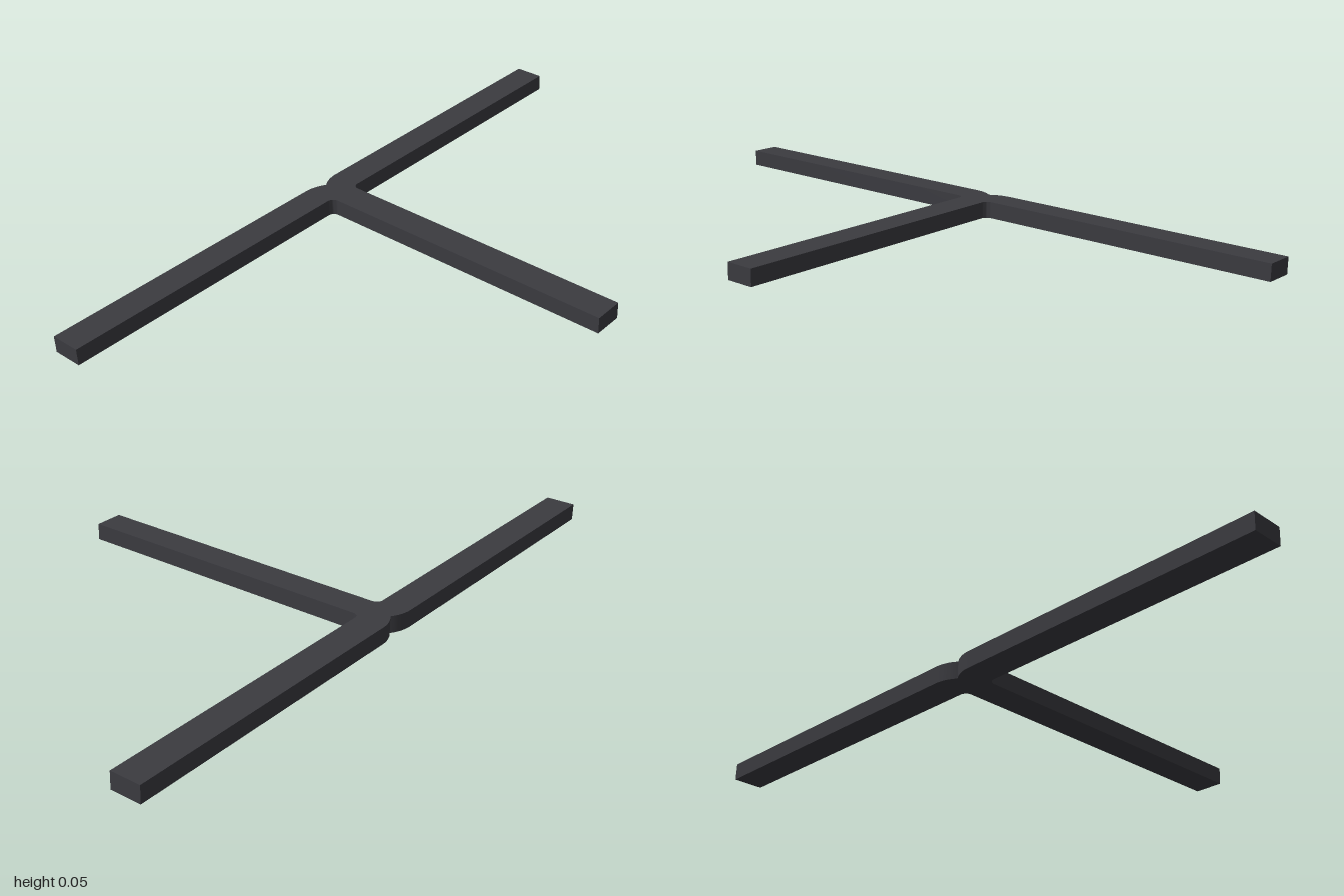
import * as THREE from 'three';
import { toCreasedNormals } from 'three/addons/utils/BufferGeometryUtils.js';

const HEIGHT = 0.05, HALF_WIDTH = 0.045;
const BEND_X = 0.065, BEND_Z = -0.415; // centre of each elbow bend
const INNER_R = 0.02, OUTER_R = 0.11;

// Points on an arc round the bend centre, as (x, -z)
function arc(radius, from, to, steps = 12) {
  return Array.from({ length: steps + 1 }, (_, i) => {
    const a = from + (to - from) * i / steps;
    return new THREE.Vector2(BEND_X + radius * Math.cos(a), -BEND_Z + radius * Math.sin(a));
  });
}

// Half of the crossbar, curving into the stem; both halves meet at x = 0
function armGeometry(side) {
  const points = [
    new THREE.Vector2(0, -BEND_Z),
    ...arc(INNER_R, Math.PI, Math.PI / 2),
    new THREE.Vector2(1, -BEND_Z + INNER_R),
    new THREE.Vector2(1, -BEND_Z + OUTER_R),
    ...arc(OUTER_R, Math.PI / 2, Math.acos(-BEND_X / OUTER_R)),
  ];
  const shape = new THREE.Shape(points.map(p => new THREE.Vector2(p.x * side, p.y)));
  const geometry = new THREE.ExtrudeGeometry(shape, { depth: HEIGHT, bevelEnabled: false });
  geometry.rotateX(-Math.PI / 2);
  return toCreasedNormals(geometry, Math.PI / 6);
}

export function createModel() {
  const group = new THREE.Group();
  group.name = 'teeJunction';
  const material = new THREE.MeshStandardMaterial({ color: 0x3b3b40 });

  const add = (name, geometry) => {
    const mesh = new THREE.Mesh(geometry, material);
    mesh.name = name;
    group.add(mesh);
    return mesh;
  };

  // Crossbar arms with their elbows
  add('leftArm', armGeometry(1));
  add('rightArm', armGeometry(-1));

  // Straight stem running to the front
  const front = 0.525;
  add('stem', new THREE.BoxGeometry(HALF_WIDTH * 2, HEIGHT, front - BEND_Z))
    .position.set(0, HEIGHT / 2, (front + BEND_Z) / 2);

  return group;
}
